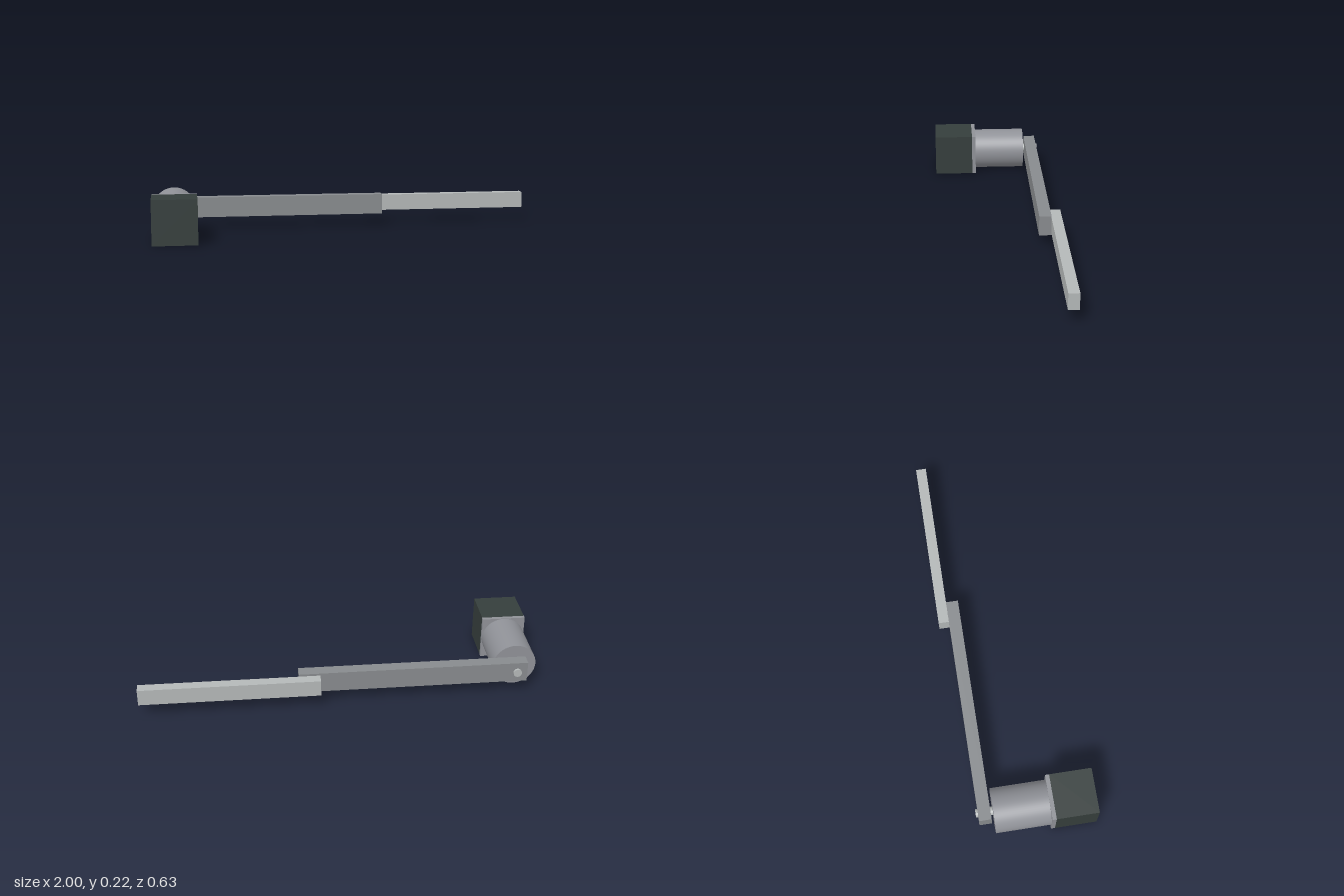
import * as THREE from 'three';

const mat = (name, color) => {
  const m = new THREE.MeshStandardMaterial({ color });
  m.name = name;
  return m;
};

export function createModel() {
  const group = new THREE.Group();
  const dark = mat('motor black', 0x353e3c);
  const steel = mat('gearbox grey', 0x909298);
  const armGrey = mat('arm grey', 0x888b8e);
  const lightGrey = mat('light grey', 0xb4b8b8);

  const add = (name, geometry, material) => {
    const mesh = new THREE.Mesh(geometry, material);
    mesh.name = name;
    group.add(mesh);
  };
  // Box given by its extents on each axis
  const box = (name, material, [x0, x1], [y0, y1], [z0, z1]) =>
    add(name, new THREE.BoxGeometry(x1 - x0, y1 - y0, z1 - z0)
      .translate((x0 + x1) / 2, (y0 + y1) / 2, (z0 + z1) / 2), material);
  // Cylinder along z on the motor axis
  const rod = (name, material, radius, z0, z1) =>
    add(name, new THREE.CylinderGeometry(radius, radius, z1 - z0, 64)
      .rotateX(Math.PI / 2).translate(-0.889, 0.1115, (z0 + z1) / 2), material);

  // Motor, mounting flange and gearbox
  box('motorBody', dark, [-1, -0.778], [0, 0.223], [0.106, 0.315]);
  box('mountingFlange', steel, [-1, -0.778], [0, 0.223], [0.086, 0.106]);
  rod('gearbox', steel, 0.11, -0.188, 0.086);
  rod('outputShaft', lightGrey, 0.021, -0.273, -0.188);

  // Crank arm and the lighter link overlapping behind it
  box('crankArm', armGrey, [-0.94, 0.21], [0.06, 0.164], [-0.262, -0.2]);
  box('outerLink', lightGrey, [0.105, 1], [0.07, 0.153], [-0.315, -0.262]);

  return group;
}
